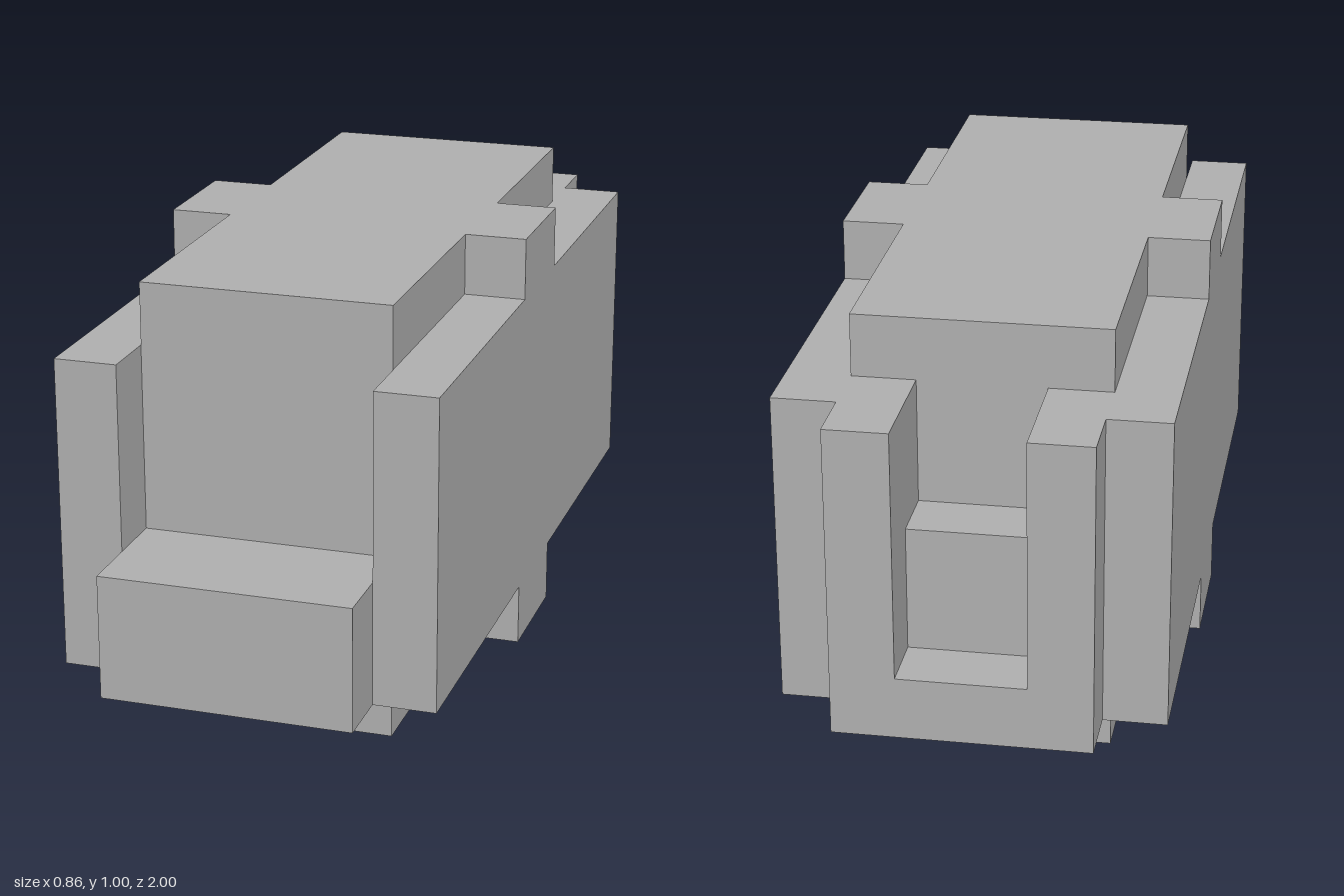
import * as THREE from 'three';

const U = 1 / 7; // grid unit: the body is 6 x 7 x 14 units

export function createModel() {
  const model = new THREE.Group();
  model.name = 'blockBody';
  const grey = new THREE.MeshStandardMaterial({ color: 0xb0b0b0 });
  grey.name = 'grey';

  const add = (name, geometry) => {
    const mesh = new THREE.Mesh(geometry, grey);
    mesh.name = name;
    model.add(mesh);
  };

  // Box given by its limits in grid units
  const box = (name, x0, x1, y0, y1, z0, z1) => {
    const g = new THREE.BoxGeometry((x1 - x0) * U, (y1 - y0) * U, (z1 - z0) * U);
    g.translate((x0 + x1) * U / 2, (y0 + y1) * U / 2, (z0 + z1) * U / 2);
    add(name, g);
  };

  // Central block and front step
  box('core', -2, 2, 0, 7, -5, 5);
  box('frontStep', -2, 2, 1, 3, 5, 7);

  // Side plates with a lug above and below the middle
  for (const [side, x] of [['left', 2], ['right', -3]]) {
    box(side + 'SidePlate', x, x + 1, 1, 6, -6, 6);
    box(side + 'TopLug', x, x + 1, 6, 7, -1, 1);
    box(side + 'BottomLug', x, x + 1, 0, 1, -1, 1);
  }

  // U-shaped rear frame, open at the top
  const outline = [[-2, 1], [2, 1], [2, 6], [1, 6], [1, 2], [-1, 2], [-1, 6], [-2, 6]];
  const shape = new THREE.Shape(outline.map(([x, y]) => new THREE.Vector2(x * U, y * U)));
  const frame = new THREE.ExtrudeGeometry(shape, { depth: 2 * U, bevelEnabled: false });
  frame.translate(0, 0, -7 * U);
  add('rearFrame', frame);

  // Low block recessed inside the frame
  box('rearInnerBlock', -1, 1, 2, 4, -6, -5);

  return model;
}
